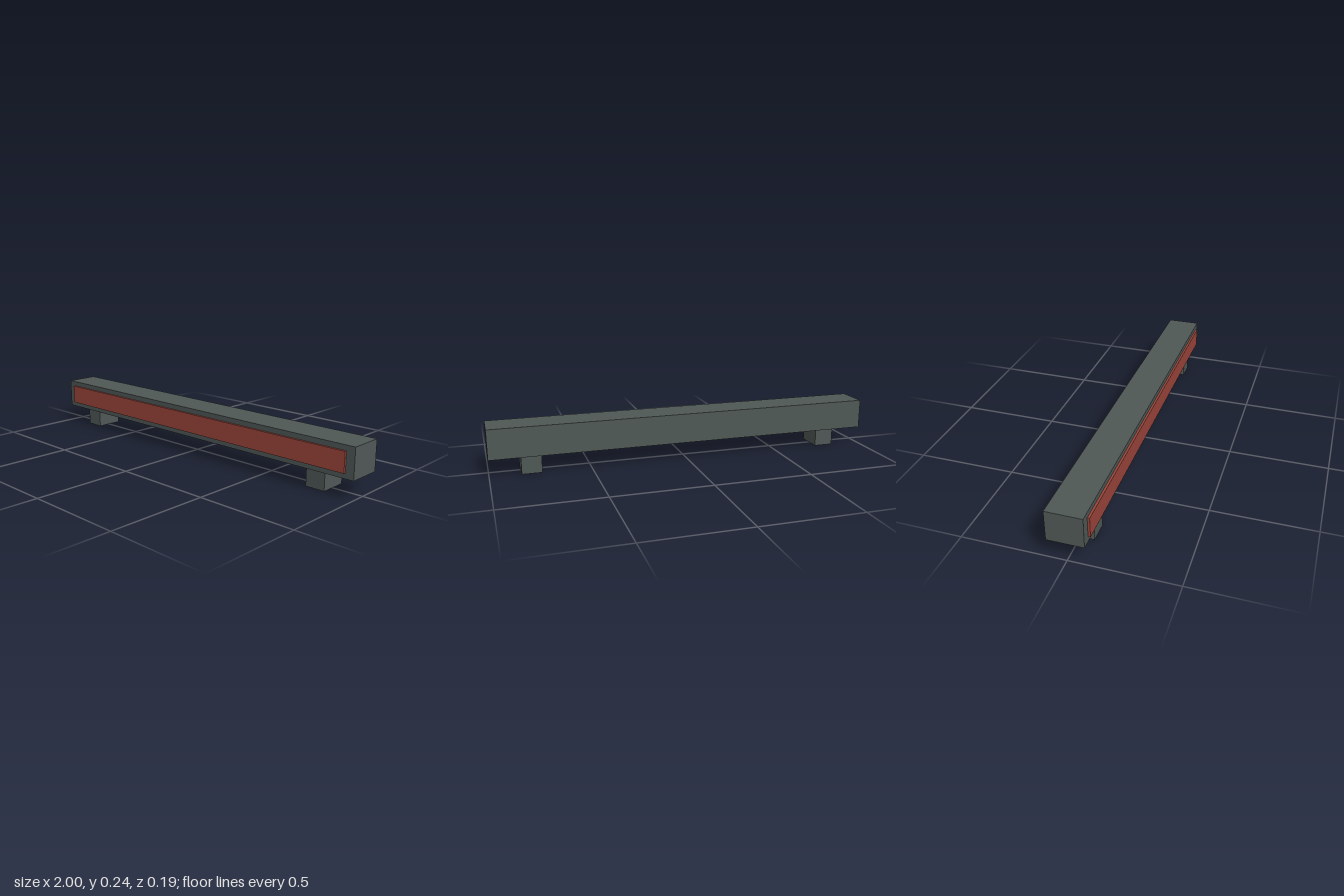
import * as THREE from 'three';

export function createModel() {
  const model = new THREE.Group();
  model.name = 'lightBar';

  const grey = new THREE.MeshStandardMaterial({ color: 0x4f5856 });
  grey.name = 'dark grey';
  const red = new THREE.MeshStandardMaterial({ color: 0x9a453a });
  red.name = 'brick red';

  // Box given by its lower and upper corners
  function addBox(name, material, [x0, y0, z0], [x1, y1, z1]) {
    const mesh = new THREE.Mesh(new THREE.BoxGeometry(x1 - x0, y1 - y0, z1 - z0), material);
    mesh.position.set((x0 + x1) / 2, (y0 + y1) / 2, (z0 + z1) / 2);
    mesh.name = name;
    model.add(mesh);
  }

  // Long housing with a raised panel on its front
  addBox('housing', grey, [-1, 0.091, -0.092], [1, 0.243, 0.082]);
  addBox('frontPanel', red, [-0.957, 0.117, 0.078], [0.957, 0.217, 0.093]);

  // Mounting feet near the ends
  addBox('leftFoot', grey, [0.745, 0, -0.075], [0.845, 0.091, 0.066]);
  addBox('rightFoot', grey, [-0.845, 0, -0.075], [-0.745, 0.091, 0.066]);

  return model;
}
